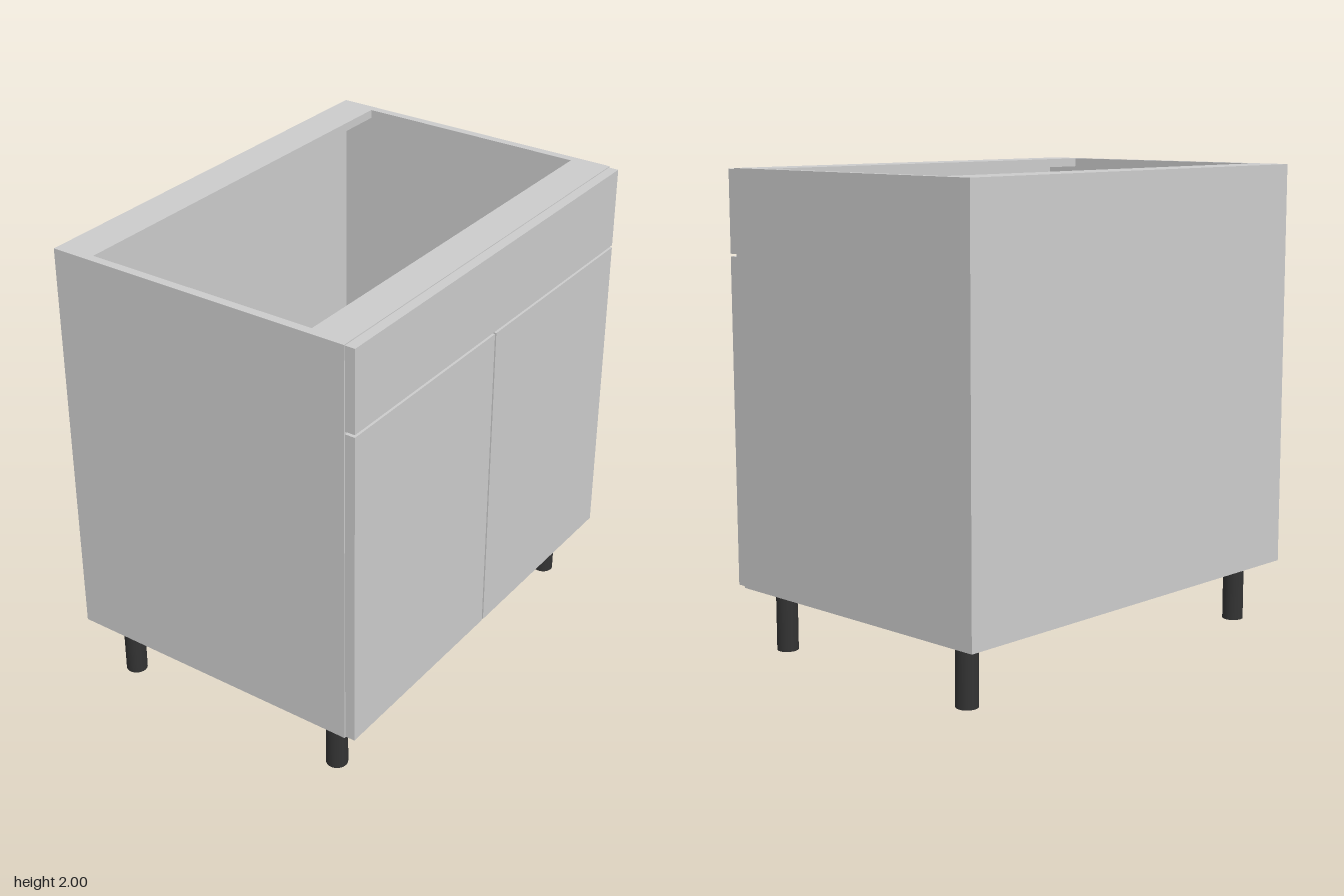
import * as THREE from 'three';

const GREY = new THREE.MeshStandardMaterial({ color: 0xcccccc });
const BLACK = new THREE.MeshStandardMaterial({ color: 0x333333 });

// Box given by its extents along each axis
function panel(name, [x0, x1], [y0, y1], [z0, z1]) {
  const mesh = new THREE.Mesh(new THREE.BoxGeometry(x1 - x0, y1 - y0, z1 - z0), GREY);
  mesh.position.set((x0 + x1) / 2, (y0 + y1) / 2, (z0 + z1) / 2);
  mesh.name = name;
  return mesh;
}

export function createModel() {
  const cabinet = new THREE.Group();
  cabinet.name = 'baseCabinet';

  const T = 0.037;                    // board thickness
  const W = 0.955, inner = W - T;     // half widths outside and inside
  const base = 0.265, top = 2;
  const back = -0.69, front = 0.647, face = 0.69;
  const backInner = back + 0.03;
  const span = [-inner, inner];

  // Carcass: sides, floor, back and two flat top rails; open at the top
  cabinet.add(
    panel('leftSide', [inner, W], [base, top], [back, front]),
    panel('rightSide', [-W, -inner], [base, top], [back, front]),
    panel('bottomPanel', span, [base, base + T], [backInner, front]),
    panel('backPanel', span, [base, top], [back, backInner]),
    panel('rearRail', span, [top - T, top], [backInner, -0.525]),
    panel('frontRail', span, [top - T, top], [0.485, front])
  );

  // Drawer front above a pair of doors, separated by narrow gaps
  const edge = 0.95, gap = 0.005;
  cabinet.add(
    panel('drawerFront', [-edge, edge], [1.654, 1.996], [front, face]),
    panel('leftDoor', [gap, edge], [0.27, 1.643], [front, face]),
    panel('rightDoor', [-edge, -gap], [0.27, 1.643], [front, face])
  );

  // Four round legs
  const legGeometry = new THREE.CylinderGeometry(0.045, 0.045, base, 32);
  for (const x of [-0.832, 0.832]) {
    for (const z of [-0.54, 0.523]) {
      const leg = new THREE.Mesh(legGeometry, BLACK);
      leg.position.set(x, base / 2, z);
      leg.name = (z > 0 ? 'front' : 'back') + (x > 0 ? 'Left' : 'Right') + 'Leg';
      cabinet.add(leg);
    }
  }
  return cabinet;
}
